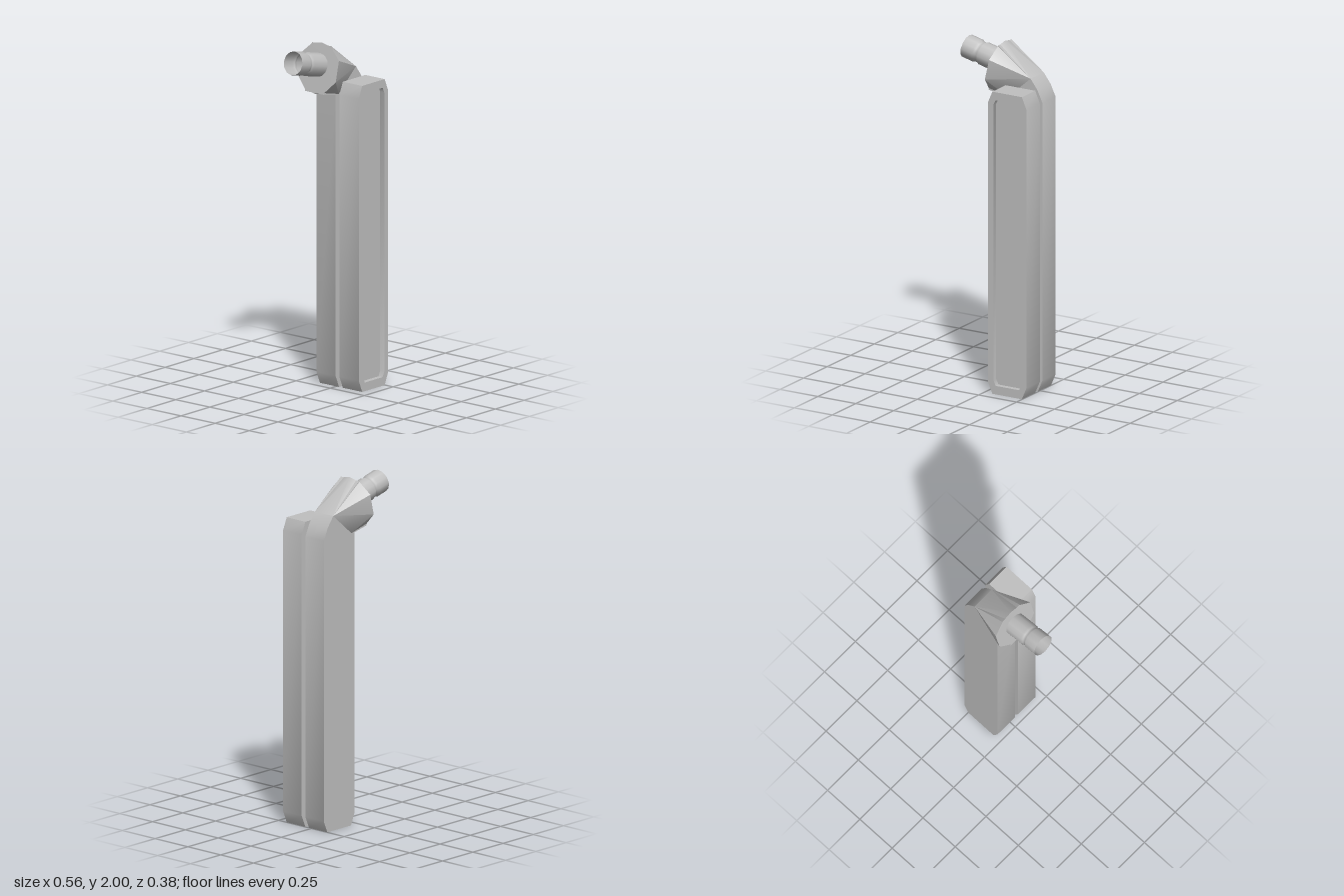
import * as THREE from 'three';
import { toCreasedNormals } from 'three/addons/utils/BufferGeometryUtils.js';
import { ConvexGeometry } from 'three/addons/geometries/ConvexGeometry.js';

const toPoints = (list) => list.map(([x, y]) => new THREE.Vector2(x, y));

// Rectangle with cut corners, counter-clockwise
function cutRect(x0, x1, y0, y1, cx, cy) {
  return toPoints([
    [x0 + cx, y0], [x1 - cx, y0], [x1, y0 + cy], [x1, y1 - cy],
    [x1 - cx, y1], [x0 + cx, y1], [x0, y1 - cy], [x0, y0 + cy],
  ]);
}

function slab(points, z0, z1, hole) {
  const shape = new THREE.Shape(points);
  if (hole) shape.holes.push(new THREE.Path(hole));
  const geo = new THREE.ExtrudeGeometry(shape, { depth: z1 - z0, bevelEnabled: false });
  geo.translate(0, 0, z0);
  return toCreasedNormals(geo, 0.65);
}

export function createModel() {
  const group = new THREE.Group();
  const grey = new THREE.MeshStandardMaterial({ color: 0xc0c0c0, side: THREE.DoubleSide });
  grey.name = 'plain grey';
  const add = (name, geo) => {
    const mesh = new THREE.Mesh(geo, grey);
    mesh.name = name;
    group.add(mesh);
    return mesh;
  };

  // Front bar: a rim around a sunken panel
  const outer = cutRect(0.023, 0.278, 0, 1.775, 0.03, 0.07);
  const inner = cutRect(0.06, 0.245, 0.05, 1.728, 0.015, 0.03);
  add('frontBarRim', slab(outer, 0.048, 0.19, inner));
  add('frontBarPanel', slab(inner, 0.048, 0.16));

  // Rear bar, bending over at the top towards the flange
  add('rearBar', slab(toPoints([
    [0.053, 0], [0.248, 0], [0.278, 0.07], [0.278, 1.70], [0.245, 1.77], [0.2, 1.83],
    [-0.015, 1.99], [-0.078, 1.72], [0.023, 1.70], [0.023, 0.07],
  ]), -0.12, 0.02));

  // Flared neck: octagonal flange tapering onto the flanks of the bar
  const midZ = -0.05;
  const neck = [
    new THREE.Vector3(-0.013, 2.0, midZ),
    new THREE.Vector3(-0.079, 1.715, midZ),
  ];
  for (const s of [-1, 1]) {
    for (const [x, y, w] of [
      [-0.016, 1.985, 0.07], [-0.031, 1.92, 0.14], [-0.059, 1.8, 0.14], [-0.076, 1.73, 0.07],
      [0.05, 1.935, 0.07], [0.05, 1.70, 0.07], [0.2, 1.83, 0.07],
    ]) neck.push(new THREE.Vector3(x, y, midZ + s * w));
  }
  add('flaredNeck', toCreasedNormals(new ConvexGeometry(neck), 0.7));

  // Open tube with a shallow groove, square to the flange
  const tube = add('tube', new THREE.LatheGeometry(toPoints([
    [0.068, 0], [0.068, 0.113], [0.061, 0.125], [0.061, 0.138], [0.068, 0.15], [0.068, 0.225],
  ]), 12));
  tube.position.set(-0.044, 1.876, midZ);
  tube.quaternion.setFromUnitVectors(
    new THREE.Vector3(0, 1, 0), new THREE.Vector3(-0.97, 0.235, 0).normalize());

  return group;
}
